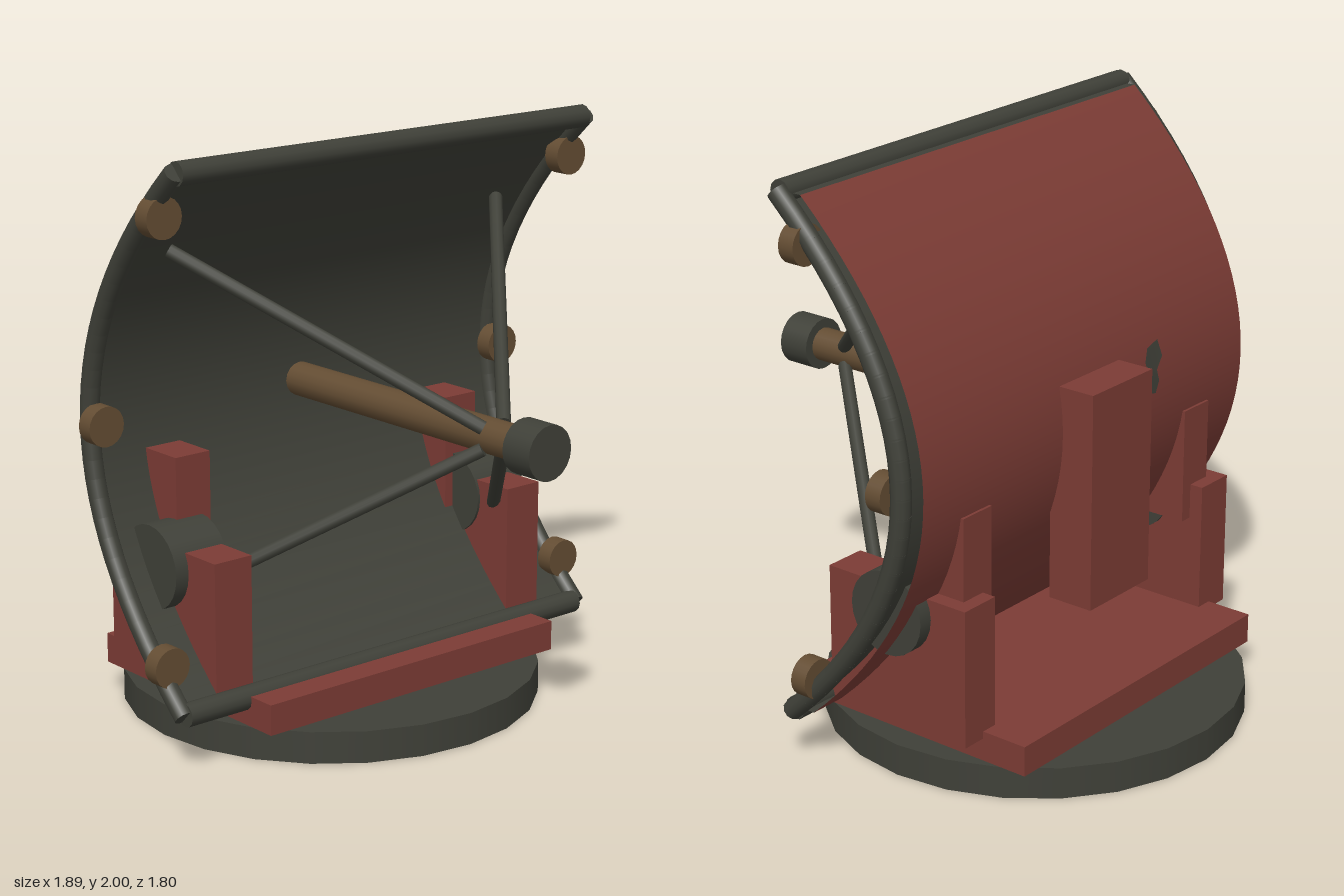
import * as THREE from 'three';

const V = (x, y, z) => new THREE.Vector3(x, y, z);
const MID = 1.08, HALF = 0.88;
// Parabolic side profile of the reflector
const dishZ = (y) => -0.34 + 0.48 * ((y - MID) / HALF) ** 2;

export function createModel() {
  const model = new THREE.Group();
  model.name = 'radarDish';
  const make = (name, color) => {
    const m = new THREE.MeshStandardMaterial({ color, side: THREE.DoubleSide });
    m.name = name;
    return m;
  };
  const dark = make('darkGrey', 0x3f4038);
  const red = make('rustRed', 0x7c3c35);
  const brown = make('brown', 0x644d33);

  const add = (name, geo, mat, parent = model) => {
    const mesh = new THREE.Mesh(geo, mat);
    mesh.name = name;
    parent.add(mesh);
    return mesh;
  };
  // Box given by its minimum and maximum on each axis
  const box = (name, mat, x0, x1, y0, y1, z0, z1) =>
    add(name, new THREE.BoxGeometry(x1 - x0, y1 - y0, z1 - z0), mat)
      .position.set((x0 + x1) / 2, (y0 + y1) / 2, (z0 + z1) / 2);
  // Cylinder running between two points
  const rod = (name, mat, a, b, r, sides = 12, parent = model) => {
    const mesh = add(name, new THREE.CylinderGeometry(r, r, a.distanceTo(b), sides), mat, parent);
    mesh.position.copy(a).lerp(b, 0.5);
    mesh.quaternion.setFromUnitVectors(V(0, 1, 0), b.clone().sub(a).normalize());
  };
  // Bend a flat geometry onto the parabola, shifted along z
  const bend = (geo, shift) => {
    const p = geo.attributes.position;
    for (let i = 0; i < p.count; i++) p.setZ(i, dishZ(p.getY(i)) + shift);
    geo.computeVertexNormals();
    return geo;
  };

  // Base
  rod('baseDisc', dark, V(0, 0, -0.175), V(0, 0.11, -0.175), 0.725, 24);
  box('baseSlab', red, -0.63, 0.63, 0.11, 0.215, -0.63, 0.28);

  // Reflector: dark front skin and red back skin
  const sheet = () => new THREE.PlaneGeometry(1.71, 2 * HALF, 1, 32);
  add('reflectorFront', bend(sheet().translate(0, MID, 0), 0), dark);
  add('reflectorBack', bend(sheet().rotateY(Math.PI).translate(0, MID, 0), -0.07), red);

  // Dark patch on the back skin
  const outline = [[-0.37, 1.26], [-0.31, 1.245], [-0.29, 1.2], [-0.30, 1.16], [-0.275, 1.13],
    [-0.285, 1.09], [-0.34, 1.08], [-0.36, 1.12], [-0.35, 1.16], [-0.385, 1.2]];
  const patchShape = new THREE.Shape(outline.map(([x, y]) => new THREE.Vector2(-x, y)));
  add('backPatch', bend(new THREE.ShapeGeometry(patchShape).rotateY(Math.PI), -0.077), dark);

  // Top and bottom rim bars with the strips that close the two skins
  for (const y of [MID - HALF, MID + HALF]) {
    rod('rimBar', dark, V(-0.87, y, 0.14), V(0.87, y, 0.14), 0.04);
    const strip = add('rimStrip', new THREE.PlaneGeometry(1.71, 0.07), dark);
    strip.rotation.x = -Math.sign(y - MID) * Math.PI / 2;
    strip.position.set(0, y, 0.105);
  }

  for (const s of [-1, 1]) {
    const span = (a, b) => (s > 0 ? [a, b] : [-b, -a]);

    // Curved side rim of short overlapping pipe pieces
    const rim = new THREE.Group();
    rim.name = 'sideRim';
    model.add(rim);
    const N = 28;
    for (let i = 0; i < N; i++) {
      const at = (t) => {
        const y = MID - HALF + 2 * HALF * t;
        return V(s * 0.878, y, dishZ(y));
      };
      const a = at(i / N), b = at((i + 1) / N);
      const over = b.clone().sub(a).multiplyScalar(0.08);
      rod('rimPiece', dark, a.sub(over), b.add(over), 0.034, 10, rim);
    }

    // Round fittings on the rim
    for (const [y, z] of [[0.345, 0.055], [MID, -0.28], [1.815, 0.055]])
      rod('rimFitting', brown, V(s * 0.875, y, z - 0.03), V(s * 0.875, y, z + 0.03), 0.068, 20);

    // Cradle posts, brackets and pivots
    box('cradlePost', red, ...span(0.57, 0.72), 0.19, 0.67, -0.46, 0.11);
    box('upperBracket', red, ...span(0.525, 0.665), 0.545, 0.955, -0.41, -0.165);
    rod('pivotDrum', dark, V(s * 0.56, 0.6, -0.175), V(s * 0.77, 0.6, -0.175), 0.145, 24);

    // Struts bracing the feed
    for (const v of [-1, 1])
      rod('feedStrut', dark, V(s * 0.045, MID + v * 0.035, 0.64),
        V(s * 0.71, MID + v * 0.58, -0.12), 0.024, 10);
  }

  // Back spine block
  box('spineBlock', red, -0.16, 0.16, 0.49, 1.245, -0.53, -0.36);

  // Feed boom and horn
  rod('feedBoom', brown, V(0, MID, -0.34), V(0, MID, 0.78), 0.059, 16);
  rod('feedHorn', dark, V(0, MID, 0.78), V(0, MID, 0.9), 0.092, 20);

  return model;
}
